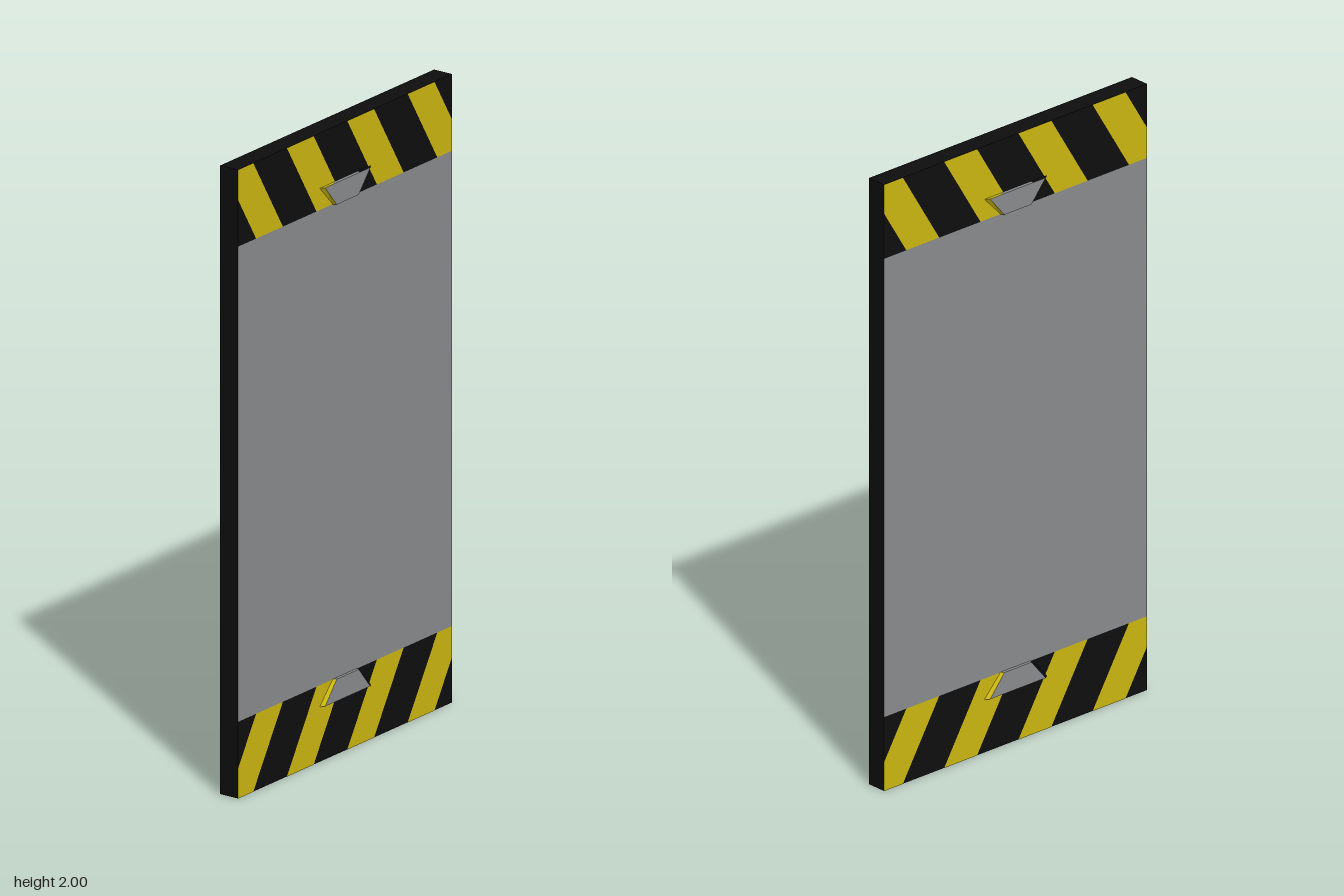
import * as THREE from 'three';

const HALF_W = 0.535, HEIGHT = 2, FACE_Z = 0.034, BAND = 0.244;

const material = (name, color, side = THREE.FrontSide) => {
  const m = new THREE.MeshStandardMaterial({ color, side });
  m.name = name;
  return m;
};

// Flat polygon (counter-clockwise from outside) as a triangle fan
function face(name, mat, ...pts) {
  const pos = [];
  for (let i = 1; i < pts.length - 1; i++) pos.push(...pts[0], ...pts[i], ...pts[i + 1]);
  const g = new THREE.BufferGeometry();
  g.setAttribute('position', new THREE.Float32BufferAttribute(pos, 3));
  g.computeVertexNormals();
  const mesh = new THREE.Mesh(g, mat);
  mesh.name = name;
  return mesh;
}

// Keep the part of a polygon where sign * x <= HALF_W
function clip(pts, sign) {
  const out = [];
  pts.forEach((p, i) => {
    const q = pts[(i + 1) % pts.length];
    const dp = HALF_W - sign * p[0], dq = HALF_W - sign * q[0];
    if (dp >= 0) out.push(p);
    if (dp * dq < 0) {
      const t = dp / (dp - dq);
      out.push([p[0] + t * (q[0] - p[0]), p[1] + t * (q[1] - p[1])]);
    }
  });
  return out;
}

function polygon(name, mat, pts) {
  const mesh = new THREE.Mesh(new THREE.ShapeGeometry(new THREE.Shape(pts.map(p => new THREE.Vector2(...p)))), mat);
  mesh.name = name;
  mesh.position.z = FACE_Z;
  return mesh;
}

// Dovetail tab, wide edge down, with bevelled ends
function createTab(grey, leftMat, rightMat) {
  const tab = new THREE.Group();
  const h = 0.035, zb = 0.033, zf = 0.044;
  const wide = 0.128, narrow = 0.062, wideF = 0.113, narrowF = 0.055;
  tab.add(face('tabFront', grey, [-wideF, -h, zf], [wideF, -h, zf], [narrowF, h, zf], [-narrowF, h, zf]));
  tab.add(face('tabNarrowEdge', grey, [-narrowF, h, zf], [narrowF, h, zf], [narrow, h, zb], [-narrow, h, zb]));
  tab.add(face('tabWideEdge', grey, [-narrow, -h, zb], [narrow, -h, zb], [narrow, -h, zf], [-narrow, -h, zf]));
  tab.add(face('tabEndA', leftMat, [-wide, -h, zb], [-wideF, -h, zf], [-narrowF, h, zf], [-narrow, h, zb]));
  tab.add(face('tabEndB', rightMat, [wideF, -h, zf], [wide, -h, zb], [narrow, h, zb], [narrowF, h, zf]));
  tab.add(face('tabWideCornerA', leftMat, [-wide, -h, zb], [-narrow, -h, zb], [-narrow, -h, zf], [-wideF, -h, zf]));
  tab.add(face('tabWideCornerB', rightMat, [narrow, -h, zb], [wide, -h, zb], [wideF, -h, zf], [narrow, -h, zf]));
  return tab;
}

export function createModel() {
  const black = material('black', 0x0e0e0e);
  const yellow = material('hazard yellow', 0xcdb810);
  const grey = material('panel grey', 0x8b8c8e);
  const model = new THREE.Group();
  model.name = 'hazardPanel';

  // Slab
  const slab = new THREE.Mesh(new THREE.BoxGeometry(HALF_W * 2, HEIGHT, FACE_Z * 2 - 0.002), black);
  slab.name = 'slab';
  slab.position.y = HEIGHT / 2;
  model.add(slab);

  // Both faces are the same, turned half way round
  for (const [name, turn] of [['frontFace', 0], ['backFace', Math.PI]]) {
    const side = new THREE.Group();
    side.name = name;
    side.rotation.y = turn;
    side.add(polygon('centrePanel', grey, [
      [-HALF_W, BAND], [HALF_W, BAND], [HALF_W, HEIGHT - BAND], [-HALF_W, HEIGHT - BAND]]));

    // Slanted stripes, mirrored between the lower and upper bands
    const width = 0.134, slant = 0.148, pitch = 0.302;
    for (let i = 0; i < 4; i++) {
      const a = -0.593 + i * pitch;
      const pts = clip(clip([[a, 0], [a + width, 0], [a + width + slant, BAND], [a + slant, BAND]], 1), -1);
      side.add(polygon('lowerStripe', yellow, pts));
      side.add(polygon('upperStripe', yellow, pts.map(([x, y]) => [x, HEIGHT - y])));
    }

    // Tabs
    const lower = createTab(grey, yellow, black);
    lower.name = 'lowerTab';
    lower.position.y = 0.21;
    const upper = createTab(grey, black, yellow);
    upper.name = 'upperTab';
    upper.position.y = HEIGHT - 0.21;
    upper.rotation.z = Math.PI;
    side.add(lower, upper);
    model.add(side);
  }
  return model;
}
